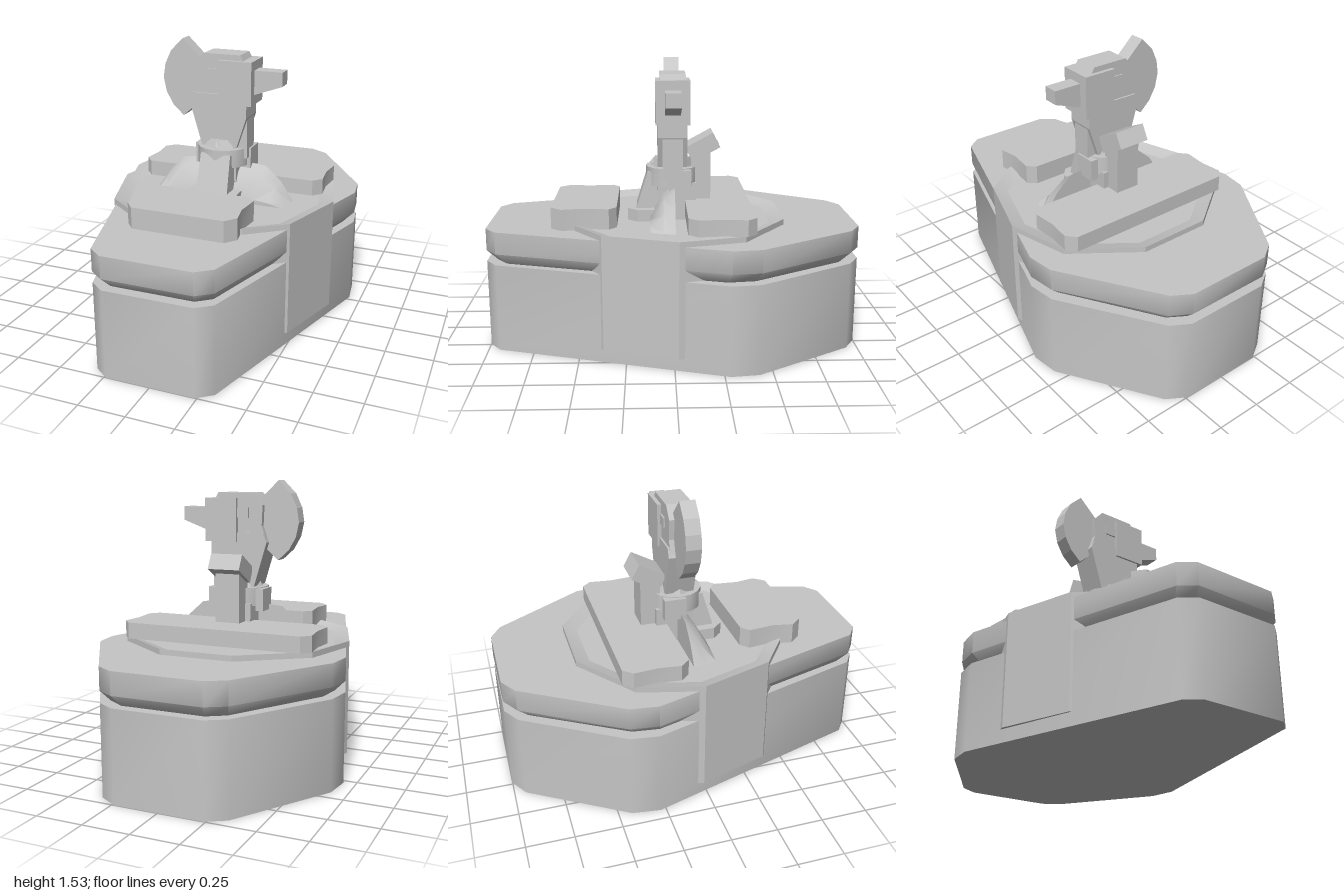
import * as THREE from 'three';
import { toCreasedNormals } from 'three/addons/utils/BufferGeometryUtils.js';

// Closed solid through rings of [x, y, z] points, with fan caps at both ends
function loft(rings, crease) {
  const pos = [];
  const tri = (a, b, c) => pos.push(...a, ...b, ...c);
  const centre = r => [0, 1, 2].map(k => r.reduce((s, p) => s + p[k], 0) / r.length);
  const n = rings[0].length;
  const first = rings[0], last = rings[rings.length - 1];
  const c0 = centre(first), c1 = centre(last);
  for (let i = 0; i < n; i++) {
    const j = (i + 1) % n;
    for (let k = 0; k + 1 < rings.length; k++) {
      const a = rings[k], b = rings[k + 1];
      tri(a[j], a[i], b[i]);
      tri(a[j], b[i], b[j]);
    }
    tri(c0, first[i], first[j]);
    tri(c1, last[j], last[i]);
  }
  const g = new THREE.BufferGeometry();
  g.setAttribute('position', new THREE.Float32BufferAttribute(pos, 3));
  return toCreasedNormals(g, crease);
}

// Mirror a half outline, listed from rear to front, about x = 0
const mirror = half => [...half, ...half.map(([x, z]) => [-x, z]).reverse()];
const ring = (outline, y, sx = 1, sz = 1) => outline.map(([x, z]) => [x * sx, y, z * sz]);
const rect = (w, z0, z1, y) => [[w, y, z0], [w, y, z1], [-w, y, z1], [-w, y, z0]];

export function createModel() {
  const model = new THREE.Group();
  const grey = new THREE.MeshStandardMaterial({ color: 0xc6c6c6 });
  const add = (name, geometry, x = 0, y = 0, z = 0) => {
    const m = new THREE.Mesh(geometry, grey);
    m.name = name;
    m.position.set(x, y, z);
    model.add(m);
    return m;
  };
  const box = (name, x0, x1, y0, y1, z0, z1) =>
    add(name, new THREE.BoxGeometry(x1 - x0, y1 - y0, z1 - z0),
      (x0 + x1) / 2, (y0 + y1) / 2, (z0 + z1) / 2);
  // Plate drawn in the front plane, centred on z = 0
  const plate = (name, pts, halfDepth) => {
    const shape = new THREE.Shape(pts.map(p => new THREE.Vector2(...p)));
    add(name, new THREE.ExtrudeGeometry(shape, { depth: 2 * halfDepth, bevelEnabled: false }), 0, 0, -halfDepth);
  };

  // Hull with a groove under the upper band
  const hull = mirror([[0.24, -1], [0.34, -0.94], [0.665, -0.43], [0.685, -0.28], [0.32, 0.94], [0.24, 1]]);
  add('lowerHull', loft([ring(hull, 0), ring(hull, 0.48)], 0.85));
  add('upperHull', loft([ring(hull, 0.478, 0.91, 0.94), ring(hull, 0.54), ring(hull, 0.66)], 0.85));

  // Midship block with a shallow sunken deck
  const mid = mirror([[0.2, -0.6], [0.45, -0.42], [0.535, -0.36], [0.625, -0.02], [0.5, 0.37], [0.3, 0.52]]);
  add('midshipBlock', loft([ring(mid, 0.07), ring(mid, 0.69), ring(mid, 0.665, 0.87, 0.875)], 0.25));

  // Deck lockers
  const rear = mirror([[0.49, -0.42], [0.535, -0.37], [0.522, -0.245], [0.535, -0.12], [0.49, -0.07]]);
  const front = mirror([[0.25, 0.3], [0.295, 0.34], [0.28, 0.48], [0.3, 0.59], [0.25, 0.65]]);
  add('rearLocker', loft([ring(rear, 0.688), ring(rear, 0.775)], 0.3));
  add('frontLocker', loft([ring(front, 0.655), ring(front, 0.775)], 0.3));

  // Pedestal: arched side arms, front foot and front leg
  const arch = (w, h, z) => [[-w, 0], [-w * 0.82, 0.55], [-w * 0.6, 0.95], [-w * 0.35, 1],
    [w * 0.35, 1], [w * 0.6, 0.95], [w * 0.82, 0.55], [w, 0]].map(([x, t]) => [x, 0.665 + t * h, z]);
  add('sideArms', loft([arch(0.4, 0.195, -0.01), arch(0.39, 0.15, 0.05), arch(0.37, 0.03, 0.12)], 0.7));
  const foot = mirror([[0.14, 0], [0.14, 0.19], [0.09, 0.245]]);
  add('frontFoot', loft([ring(foot, 0.665), ring(foot, 0.73)], 0.3));
  add('frontLeg', loft([rect(0.09, 0, 0.2, 0.72), rect(0.085, 0, 0.135, 0.93)], 0.3));
  box('pedestalCore', -0.1, 0.1, 0.665, 0.87, -0.13, 0.08);

  // Collar
  const collar = new THREE.CylinderGeometry(0.145, 0.145, 0.1, 16);
  add('collar', toCreasedNormals(collar, 0.6), 0, 0.905, 0);
  add('neckRing', toCreasedNormals(new THREE.CylinderGeometry(0.1, 0.12, 0.05, 8), 0.3), 0, 0.975, 0);
  for (const s of [-1, 1]) box('collarLug', s * 0.14 - 0.022, s * 0.14 + 0.022, 0.83, 0.95, -0.1, 0.02);
  const peak = new THREE.ConeGeometry(0.035, 0.04, 4);
  add('collarPeak', peak, 0, 0.99, 0.09);

  // Rear strut and tilted block
  box('rearStrut', -0.07, 0.07, 0.76, 1.04, -0.21, -0.1);
  const block = box('rearBlock', -0.09, 0.09, 1.02, 1.11, -0.25, -0.08);
  block.rotation.x = 0.5;

  // Neck, head and side brace
  plate('neck', [[-0.1, 0.96], [0.1, 0.96], [0.155, 1.13], [0.155, 1.25], [-0.15, 1.25], [-0.172, 1.2]], 0.08);
  plate('head', [[-0.17, 1.2], [0.15, 1.2], [0.15, 1.4], [0.115, 1.465], [-0.09, 1.465],
    [-0.145, 1.4], [-0.14, 1.29]], 0.07);
  box('sideBrace', 0.09, 0.152, 0.9, 1.13, -0.055, 0.055);

  // Launcher housing, barrel and pivot tab
  box('housing', 0, 0.185, 1.2, 1.435, -0.092, 0.092);
  plate('barrel', [[0.17, 1.248], [0.34, 1.31], [0.34, 1.385], [0.17, 1.385]], 0.042);
  box('pivotTab', -0.065, 0.02, 1.33, 1.385, -0.078, 0.078);

  // Fan-shaped counterweight
  plate('fan', [[-0.225, 1.53], [-0.295, 1.46], [-0.33, 1.385], [-0.342, 1.31], [-0.325, 1.23],
    [-0.285, 1.16], [-0.225, 1.105], [-0.14, 1.18], [-0.1, 1.31], [-0.12, 1.43]], 0.042);

  return model;
}
